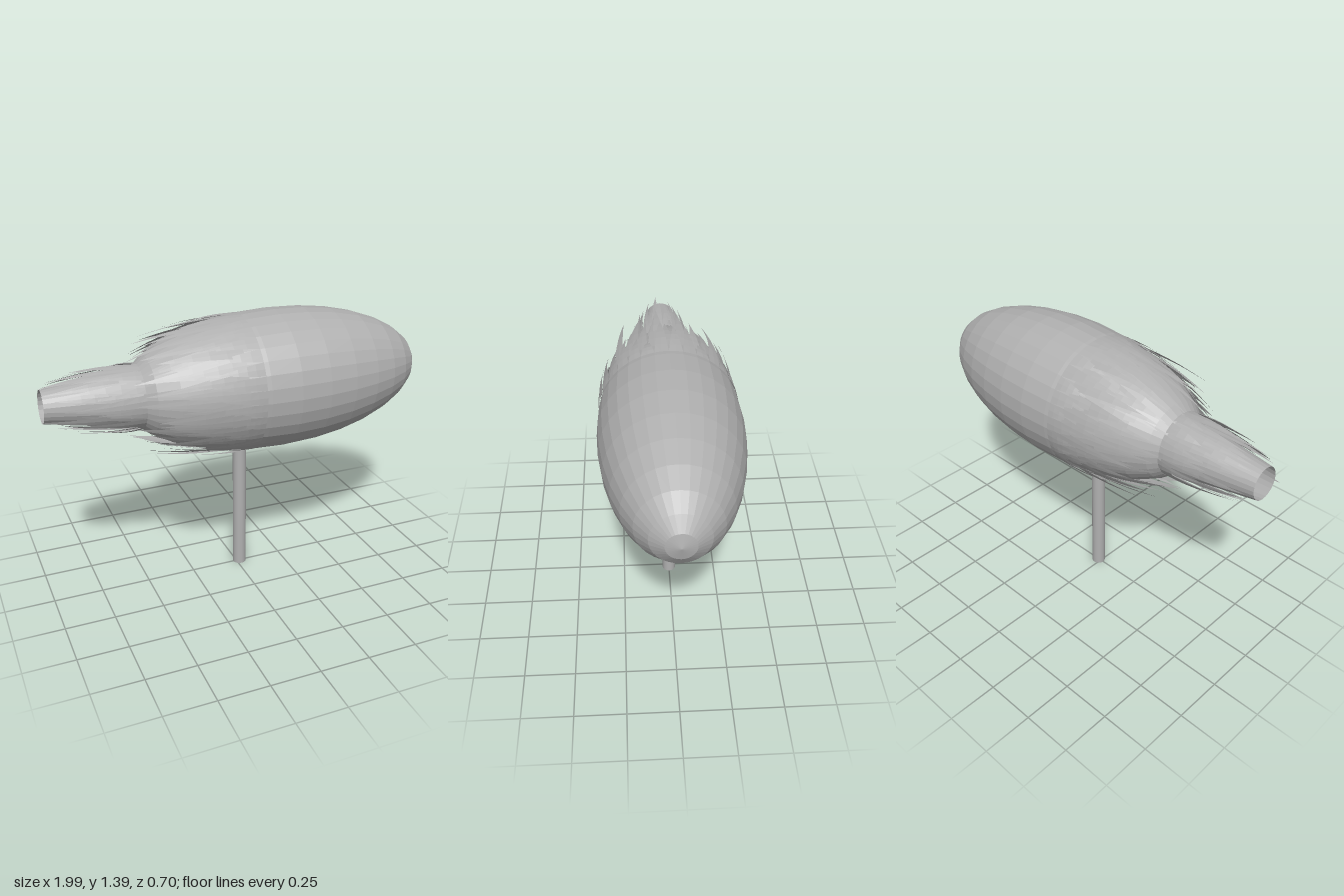
import * as THREE from 'three';

const AXIS_Y = 1.045; // height of the pod's long axis
const CENTRE_X = 0.2, HALF_LENGTH = 0.8, RADIUS = 0.35;

const grey = new THREE.MeshStandardMaterial({ color: 0xb0b0b0, side: THREE.DoubleSide });
grey.name = 'grey';

function seeded(seed) {
  let s = seed;
  return (a, b) => {
    s = (s * 16807) % 2147483647;
    return a + (b - a) * (s / 2147483647);
  };
}

function part(name, geometry, faceted = true) {
  let g = geometry;
  if (faceted) {
    if (g.index) g = g.toNonIndexed();
    g.computeVertexNormals();
  }
  const mesh = new THREE.Mesh(g, grey);
  mesh.name = name;
  return mesh;
}

// Ring of tapering splinters around the x axis, joined at the base and split towards the tips
function splinterRing({ count, base, baseR, tip, tipR, seed, skew = 0.05, turn = 0 }) {
  const rand = seeded(seed);
  const pos = [];
  const rows = 5;
  const point = (x, r, a) => [x, r * Math.cos(a), r * Math.sin(a)];
  for (let i = 0; i < count; i++) {
    const half = Math.PI / count;
    const mid = turn + (i + 0.5) * half * 2;
    const tipX = rand(tip[0], tip[1]);
    const endR = rand(tipR[0], tipR[1]);
    const lean = rand(-skew, skew);
    const sharp = rand(0.6, 1.1);
    const strip = [];
    for (let j = 0; j <= rows; j++) {
      const s = j / rows;
      const x = base + (tipX - base) * s;
      const r = baseR + (endR - baseR) * s + 0.01 * Math.sin(Math.PI * s);
      const w = half * Math.pow(1 - s, sharp);
      const a = mid + lean * s;
      strip.push([point(x, r, a - w), point(x, r, a), point(x, r, a + w)]);
    }
    for (let j = 0; j < rows; j++) {
      for (let k = 0; k < 2; k++) {
        const a = strip[j][k], b = strip[j][k + 1];
        const c = strip[j + 1][k], d = strip[j + 1][k + 1];
        pos.push(...a, ...b, ...d);
        if (j < rows - 1) pos.push(...a, ...d, ...c);
      }
    }
  }
  const g = new THREE.BufferGeometry();
  g.setAttribute('position', new THREE.Float32BufferAttribute(pos, 3));
  return g;
}

const ellipseR = (x) => RADIUS * Math.sqrt(1 - ((x - CENTRE_X) / HALF_LENGTH) ** 2);

export function createModel() {
  const model = new THREE.Group();
  model.name = 'splinteredPod';

  // Round support post
  const post = part('post', new THREE.CylinderGeometry(0.035, 0.035, 0.74, 24), false);
  post.position.set(0.017, 0.37, 0);
  model.add(post);

  const pod = new THREE.Group();
  pod.name = 'pod';
  pod.position.y = AXIS_Y;
  model.add(pod);

  // Faceted ellipsoid with its poles along x
  const body = new THREE.SphereGeometry(1, 32, 16);
  body.rotateZ(-Math.PI / 2);
  body.scale(HALF_LENGTH, RADIUS, RADIUS);
  body.translate(CENTRE_X, 0, 0);
  pod.add(part('body', body));

  // Layers of splinters peeling off the rear of the body
  const layers = [
    { count: 32, base: 0.02, tip: [-0.32, -0.12], tipR: [0.305, 0.33], seed: 11, skew: 0.02 },
    { count: 32, base: -0.06, tip: [-0.5, -0.28], tipR: [0.265, 0.315], seed: 23, turn: 0.1 },
    { count: 28, base: -0.14, tip: [-0.55, -0.4], tipR: [0.2, 0.29], seed: 37 },
    { count: 24, base: -0.24, tip: [-0.58, -0.48], tipR: [0.18, 0.22], seed: 41, turn: 0.06 },
  ];
  layers.forEach((layer, i) => {
    const baseR = ellipseR(layer.base) + 0.002;
    pod.add(part('bodySplinters' + (i + 1), splinterRing({ ...layer, baseR })));
  });

  // Hollow tail, tilted slightly upwards to the rear
  const tail = new THREE.Group();
  tail.name = 'tail';
  const tailCore = new THREE.CylinderGeometry(0.15, 0.08, 0.5, 24, 3, true);
  tailCore.rotateZ(-Math.PI / 2);
  tailCore.translate(-0.72, 0, 0);
  tail.add(part('tailTube', tailCore));

  // Splinters along the tail
  const tailLayers = [
    { count: 16, base: -0.48, baseR: 0.158, tip: [-0.84, -0.66], tipR: [0.135, 0.155], seed: 53 },
    { count: 18, base: -0.52, baseR: 0.153, tip: [-0.96, -0.8], tipR: [0.105, 0.13], seed: 67 },
    { count: 14, base: -0.62, baseR: 0.137, tip: [-0.99, -0.9], tipR: [0.09, 0.115], seed: 79 },
  ];
  tailLayers.forEach((layer, i) => {
    tail.add(part('tailSplinters' + (i + 1), splinterRing({ ...layer, skew: 0.15 })));
  });
  tail.rotation.z = -0.03;
  tail.position.y = -0.015;
  pod.add(tail);

  return model;
}
